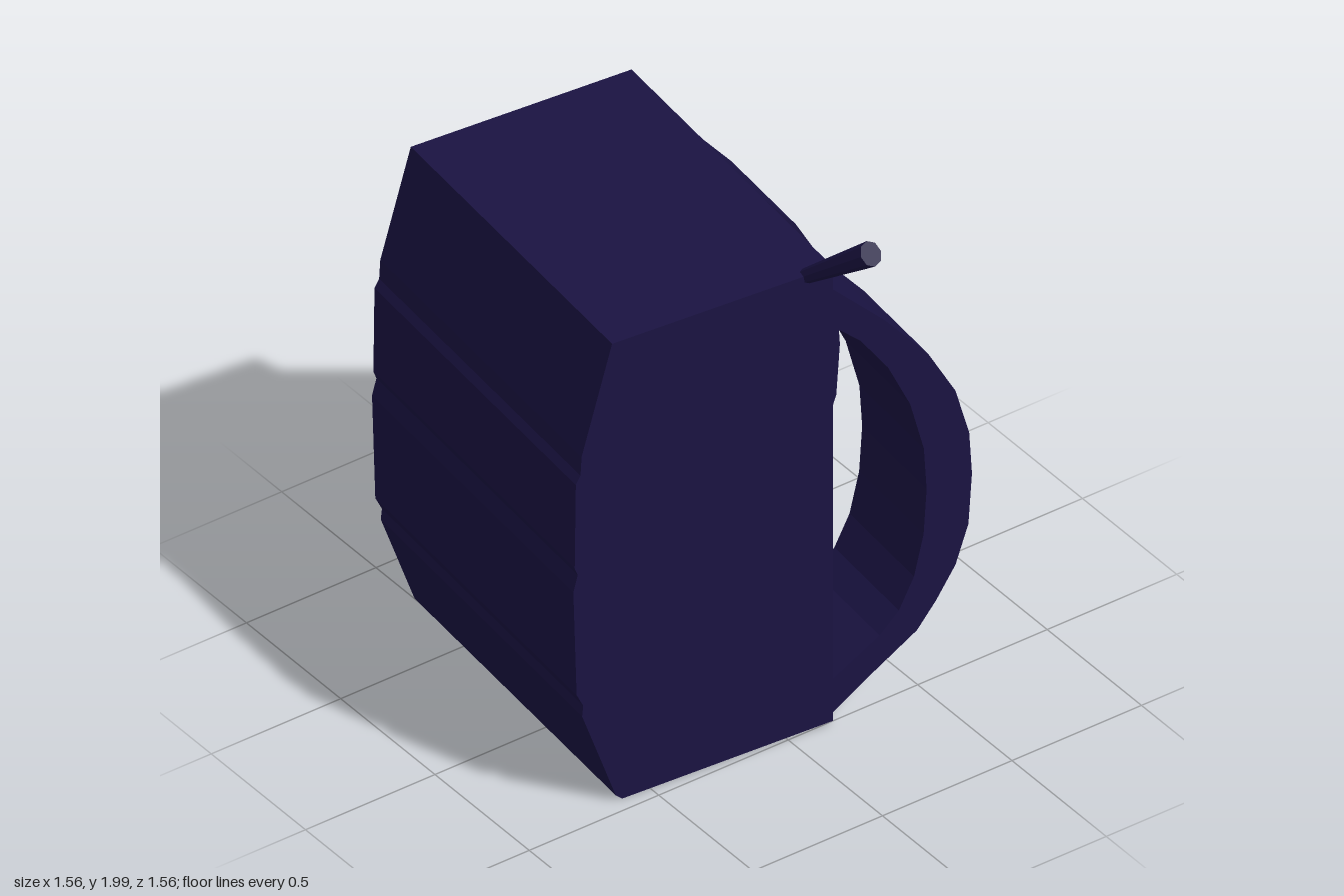
import * as THREE from 'three';

const material = new THREE.MeshStandardMaterial({ color: 0x1a1342, flatShading: true });

// Extrudes an x/y outline between two depths.
function slab(name, points, z0, z1) {
  const shape = new THREE.Shape(points.map(([x, y]) => new THREE.Vector2(x, y)));
  const geometry = new THREE.ExtrudeGeometry(shape, { depth: z1 - z0, bevelEnabled: false });
  geometry.translate(0, 0, z0);
  const mesh = new THREE.Mesh(geometry, material);
  mesh.name = name;
  return mesh;
}

// Tapered stick between two points.
function stick(name, from, to, r0, r1) {
  const a = new THREE.Vector3(...from), b = new THREE.Vector3(...to);
  const dir = b.clone().sub(a);
  const mesh = new THREE.Mesh(new THREE.CylinderGeometry(r1, r0, dir.length(), 8), material);
  mesh.position.copy(a).add(b).multiplyScalar(0.5);
  mesh.quaternion.setFromUnitVectors(new THREE.Vector3(0, 1, 0), dir.normalize());
  mesh.name = name;
  return mesh;
}

export function createModel() {
  const model = new THREE.Group();
  model.name = 'backpack';

  // Everything but the stick shares a slight turn about the vertical.
  const pack = new THREE.Group();
  pack.name = 'pack';
  pack.rotation.y = -0.09;
  model.add(pack);

  // Body with a bulging, shallowly ribbed side
  pack.add(slab('body', [
    [0.206, 0.015], [0.206, 1.765], [-0.597, 1.765], [-0.708, 1.37],
    [-0.712, 1.30], [-0.729, 1.27], [-0.733, 0.95], [-0.722, 0.92],
    [-0.738, 0.86], [-0.726, 0.46], [-0.702, 0.41], [-0.706, 0.37],
    [-0.583, 0.02], [-0.56, 0.0],
  ], -0.724, 0.5));

  // Two wide curved straps
  const outer = [
    [0.19, 1.675], [0.21, 1.67], [0.40, 1.48], [0.56, 1.29], [0.66, 1.11], [0.71, 0.93],
    [0.72, 0.77], [0.707, 0.58], [0.66, 0.44], [0.59, 0.33], [0.52, 0.24], [0.35, 0.13],
    [0.21, 0.035], [0.19, 0.03],
  ];
  const inner = [
    [0.19, 0.15], [0.206, 0.16], [0.384, 0.27], [0.454, 0.34], [0.509, 0.45], [0.544, 0.60],
    [0.555, 0.77], [0.545, 0.93], [0.495, 1.12], [0.415, 1.29], [0.315, 1.43],
    [0.206, 1.53], [0.19, 1.545],
  ];
  pack.add(slab('frontStrap', [...outer, ...inner], 0.095, 0.487));
  pack.add(slab('backStrap', [...outer, ...inner], -0.708, -0.316));

  // Small stick poking out of the top front corner
  model.add(stick('cornerStick', [0.072, 1.733, 0.47], [0.137, 1.96, 0.75], 0.024, 0.042));
  return model;
}
